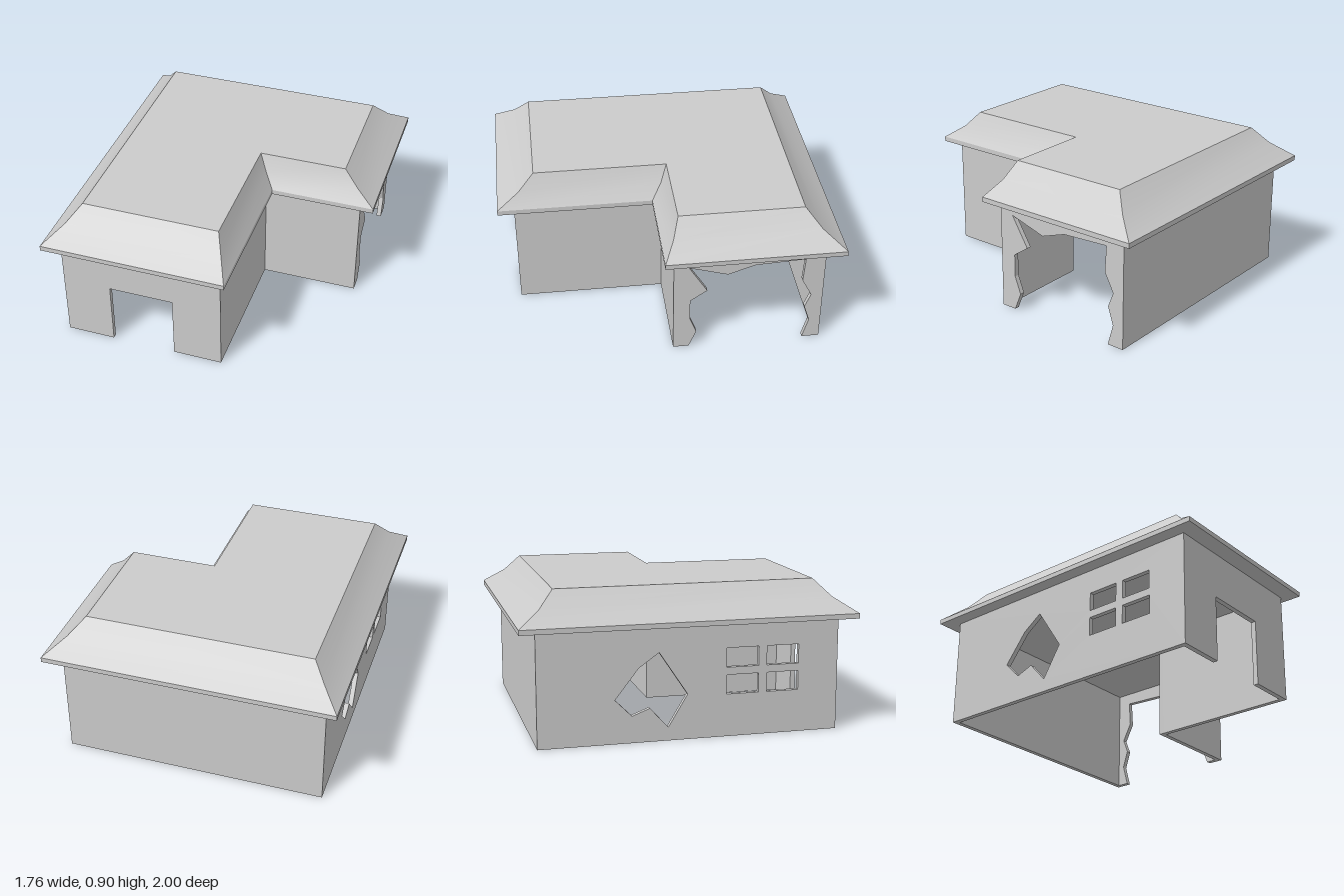
import * as THREE from 'three';
import { toCreasedNormals } from 'three/addons/utils/BufferGeometryUtils.js';

const material = new THREE.MeshStandardMaterial({ color: 0xcccccc });
const T = 0.03; // wall thickness
const H = 0.685; // wall height, tucked slightly into the roof

const toPath = (PathType, pts) => new PathType(pts.map(([u, y]) => new THREE.Vector2(u, y)));
const rect = (u0, u1, y0, y1) => [[u0, y0], [u1, y0], [u1, y1], [u0, y1]];

// Flat wall panel from an outline and holes; its run is along x, or along z if alongZ.
function wall(name, outline, holes, x, z, alongZ) {
  const shape = toPath(THREE.Shape, outline);
  shape.holes = holes.map((h) => toPath(THREE.Path, h));
  const geo = new THREE.ExtrudeGeometry(shape, { depth: T, bevelEnabled: false });
  if (alongZ) geo.rotateY(-Math.PI / 2); // thickness now spans -T..0 in x
  const mesh = new THREE.Mesh(geo, material);
  mesh.name = name;
  mesh.position.set(x, 0, z);
  return mesh;
}

// L-shaped ring of the roof at height y (xi, zi is the inner corner).
const ring = (y, x0, xi, x2, z0, zi, z1) =>
  [[x0, z1], [xi, z1], [xi, zi], [x2, zi], [x2, z0], [x0, z0]].map(([x, z]) => new THREE.Vector3(x, y, z));

function roof() {
  const rings = [
    ring(0.68, -0.88, 0.245, 0.88, -1, 0.06, 1),
    ring(0.71, -0.88, 0.245, 0.88, -1, 0.06, 1),
    ring(0.80, -0.775, 0.185, 0.765, -0.87, 0, 0.865),
    ring(0.90, -0.695, 0.14, 0.675, -0.78, -0.037, 0.77),
  ];
  const pos = [];
  const tri = (...v) => v.forEach((p) => pos.push(p.x, p.y, p.z));
  // fascia and slopes
  for (let r = 0; r < rings.length - 1; r++) {
    for (let i = 0; i < 6; i++) {
      const j = (i + 1) % 6, lo = rings[r], up = rings[r + 1];
      tri(lo[i], lo[j], up[j]);
      tri(lo[i], up[j], up[i]);
    }
  }
  // flat top and ceiling
  const cap = (pts, flip) => {
    const flat = pts.map((p) => new THREE.Vector2(p.x, -p.z));
    for (const [a, b, c] of THREE.ShapeUtils.triangulateShape(flat, [])) {
      if (flip) tri(pts[a], pts[c], pts[b]);
      else tri(pts[a], pts[b], pts[c]);
    }
  };
  cap(rings[3], false);
  cap(rings[0], true);
  const geo = new THREE.BufferGeometry();
  geo.setAttribute('position', new THREE.Float32BufferAttribute(pos, 3));
  const mesh = new THREE.Mesh(toCreasedNormals(geo, 0.55), material);
  mesh.name = 'roof';
  return mesh;
}

export function createModel() {
  const house = new THREE.Group();
  house.name = 'ruinedHouse';
  const x0 = -0.8, xi = 0.19, x2 = 0.79, zb = -0.9, zf = 0.9;

  // front wall with doorway
  house.add(wall('frontWall', [
    [x0 + T, 0], [-0.505, 0], [-0.505, 0.4], [-0.11, 0.4], [-0.11, 0], [xi - T, 0], [xi - T, H], [x0 + T, H],
  ], [], 0, zf - T));

  // plain walls
  house.add(wall('backWall', rect(x0 + T, x2 - T, 0, H), [], 0, zb));
  house.add(wall('innerFrontWall', rect(xi - T, x2 - T, 0, H), [], 0, -T));
  house.add(wall('innerSideWall', rect(0, zf, 0, H), [], xi, 0, true));

  // left wall with four window panes and a jagged hole
  const panes = [];
  for (const z of [0.215, 0.46])
    for (const y of [0.255, 0.415]) panes.push(rect(z, z + 0.195, y, y + 0.115));
  const breach = [
    [-0.45, 0.26], [-0.35, 0.16], [-0.245, 0.2], [-0.135, 0.08], [-0.02, 0.27], [-0.19, 0.525], [-0.31, 0.44],
  ];
  house.add(wall('windowWall', rect(zb, zf, 0, H), [...panes, breach], x0 + T, 0, true));

  // right wall, broken open down to the ground
  house.add(wall('brokenWall', [
    [zb, 0], [-0.795, 0], [-0.83, 0.13], [-0.795, 0.24], [-0.83, 0.33], [-0.77, 0.445], [-0.78, 0.605],
    [-0.48, 0.59], [-0.32, 0.535], [-0.09, 0.605], [-0.2, 0.425], [-0.1, 0.355], [-0.1, 0.215],
    [-0.14, 0.11], [-0.095, 0], [0, 0], [0, H], [zb, H],
  ], [], x2, 0, true));

  house.add(roof());
  return house;
}
